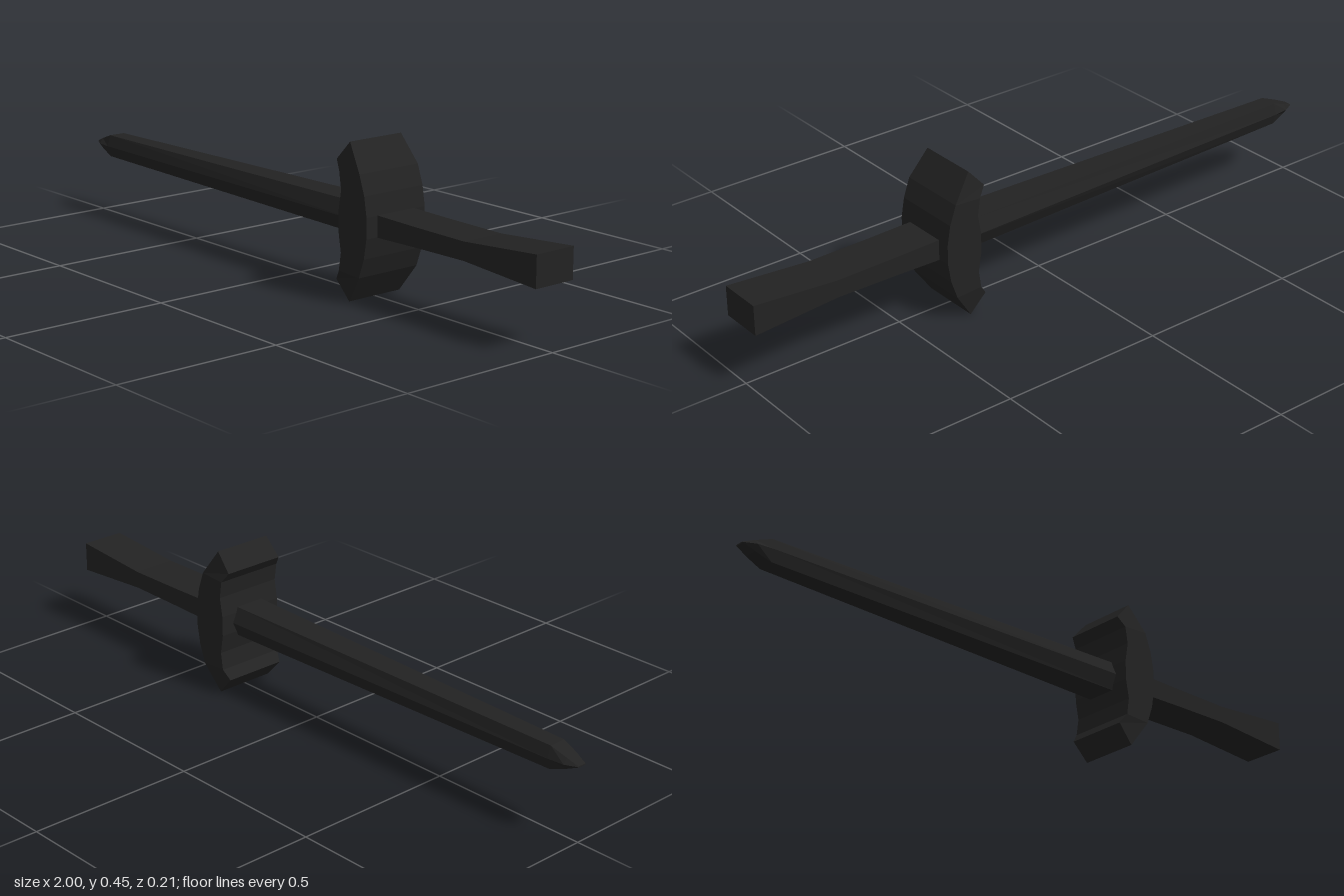
import * as THREE from 'three';

const MID = 0.225; // height of the sword's long axis

// Closed, flat-shaded skin over rings of points, each ring counter-clockwise about the direction of travel
function loft(rings) {
  const n = rings[0].length, pos = [];
  const tri = (a, b, c) => pos.push(...a, ...b, ...c);
  for (let i = 0; i < rings.length - 1; i++) {
    const a = rings[i], b = rings[i + 1];
    for (let j = 0; j < n; j++) {
      const k = (j + 1) % n;
      tri(a[j], a[k], b[k]);
      tri(a[j], b[k], b[j]);
    }
  }
  const first = rings[0], last = rings[rings.length - 1];
  for (let j = 1; j < n - 1; j++) {
    tri(first[0], first[j + 1], first[j]);
    tri(last[0], last[j], last[j + 1]);
  }
  const geo = new THREE.BufferGeometry();
  geo.setAttribute('position', new THREE.Float32BufferAttribute(pos, 3));
  geo.computeVertexNormals();
  return geo;
}

export function createModel() {
  const group = new THREE.Group();
  const charcoal = new THREE.MeshStandardMaterial({ color: 0x222222 });
  charcoal.name = 'charcoal';
  const add = (name, rings) => {
    const mesh = new THREE.Mesh(loft(rings), charcoal);
    mesh.name = name;
    group.add(mesh);
  };

  // Blade: hexagonal section, flat above and below with an edge on each side
  // [x, half height, half width of the flat, half width at the edge]
  add('blade', [
    [-1, 0.002, 0.012, 0.015],
    [-0.965, 0.016, 0.02, 0.032],
    [-0.915, 0.034, 0.026, 0.037],
    [0.33, 0.045, 0.047, 0.067],
  ].map(([x, h, f, w]) => [
    [x, MID + h, -f], [x, MID + h, f], [x, MID, w],
    [x, MID - h, f], [x, MID - h, -f], [x, MID, -w],
  ]));

  // Guard: curved bar, listed from the centre to the upper end, then mirrored down
  // [outer x, outer dy, inner x, inner dy, outer half depth, inner half depth]
  const half = [
    [0.405, 0.03, 0.29, 0.03, 0.107, 0.107],
    [0.395, 0.088, 0.3, 0.088, 0.107, 0.107],
    [0.375, 0.145, 0.292, 0.14, 0.107, 0.107],
    [0.32, 0.225, 0.27, 0.17, 0.093, 0.097],
  ];
  const guardRing = (s) => ([ox, oy, ix, iy, od, id]) => [
    [ix, MID + s * iy, id], [ox, MID + s * oy, od],
    [ox, MID + s * oy, -od], [ix, MID + s * iy, -id],
  ];
  add('guard', [...half.slice().reverse().map(guardRing(-1)), ...half.map(guardRing(1))]);

  // Grip: square-edged bar, flared towards the end
  add('grip', [
    [0.36, 0.032], [0.55, 0.028], [0.74, 0.026], [1, 0.045],
  ].map(([x, h]) => [
    [x, MID + h, -0.067], [x, MID + h, 0.067], [x, MID - h, 0.067], [x, MID - h, -0.067],
  ]));

  return group;
}
